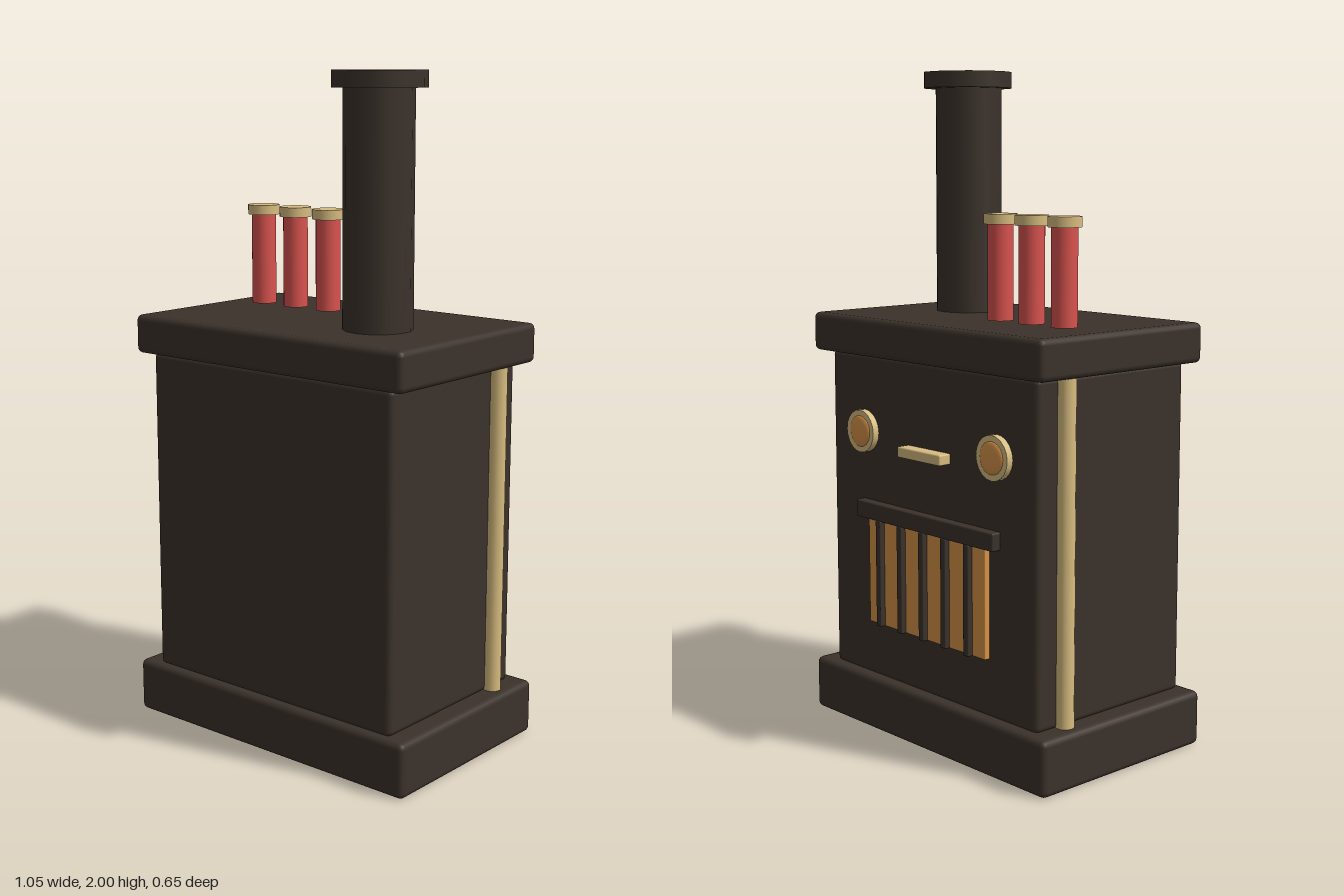
import * as THREE from 'three';
import { RoundedBoxGeometry } from 'three/addons/geometries/RoundedBoxGeometry.js';

export function createModel() {
  const model = new THREE.Group();
  model.name = 'stove';

  const mat = (name, color) => {
    const m = new THREE.MeshStandardMaterial({ color });
    m.name = name;
    return m;
  };
  const iron = mat('dark iron', 0x3b322b);
  const brass = mat('brass', 0xd8bd80);
  const red = mat('red', 0xd9534f);
  const amber = mat('amber', 0xd8944a);

  const add = (name, geometry, material, x, y, z) => {
    const mesh = new THREE.Mesh(geometry, material);
    mesh.name = name;
    mesh.position.set(x, y, z);
    model.add(mesh);
    return mesh;
  };
  // box given by its centre in x, and its ranges in y and z
  const box = (name, material, w, x, y0, y1, z0, z1, r = 0.005) =>
    add(name, new RoundedBoxGeometry(w, y1 - y0, z1 - z0, 2, r), material, x, (y0 + y1) / 2, (z0 + z1) / 2);
  // upright cylinder between two heights
  const post = (name, material, r, x, z, y0, y1, sides) =>
    add(name, new THREE.CylinderGeometry(r, r, y1 - y0, sides), material, x, (y0 + y1) / 2, z);

  // cabinet
  box('base', iron, 1.05, 0, 0, 0.165, -0.325, 0.325, 0.018);
  box('body', iron, 0.92, 0, 0.16, 1.16, -0.29, 0.3, 0.018);
  box('topSlab', iron, 1.02, 0, 1.155, 1.273, -0.325, 0.325, 0.018);

  // brass columns on both sides
  for (const s of [-1, 1]) post('sideColumn', brass, 0.027, s * 0.47, -0.19, 0.16, 1.16, 16);

  // chimney
  post('chimney', iron, 0.102, 0.228, 0.07, 1.26, 1.96, 14);
  post('chimneyCap', iron, 0.136, 0.228, 0.067, 1.952, 2, 14);

  // row of red tubes with brass caps
  for (const x of [-0.364, -0.232, -0.1]) {
    post('tube', red, 0.038, x, -0.097, 1.278, 1.56, 20);
    post('tubeCap', brass, 0.049, x, -0.097, 1.556, 1.586, 20);
  }

  // round gauges on the back face
  for (const x of [-0.297, 0.297]) {
    const rim = add('gaugeRim', new THREE.CylinderGeometry(0.065, 0.065, 0.03, 20), brass, x, 0.924, -0.296);
    rim.rotation.x = -Math.PI / 2;
    const glass = add('gaugeGlass', new THREE.SphereGeometry(0.048, 20, 8, 0, Math.PI * 2, 0, Math.PI / 2), amber, x, 0.924, -0.31);
    glass.scale.y = 0.22;
    glass.rotation.x = -Math.PI / 2;
  }
  box('handle', brass, 0.193, 0, 0.874, 0.906, -0.33, -0.28);

  // fire grate
  box('glow', amber, 0.53, 0, 0.335, 0.662, -0.307, -0.28, 0.003);
  box('grateLintel', iron, 0.62, 0, 0.66, 0.713, -0.32, -0.28);
  for (let i = -2; i <= 2; i++) box('grateBar', iron, 0.022, i * 0.1, 0.335, 0.662, -0.324, -0.29, 0.003);

  return model;
}
